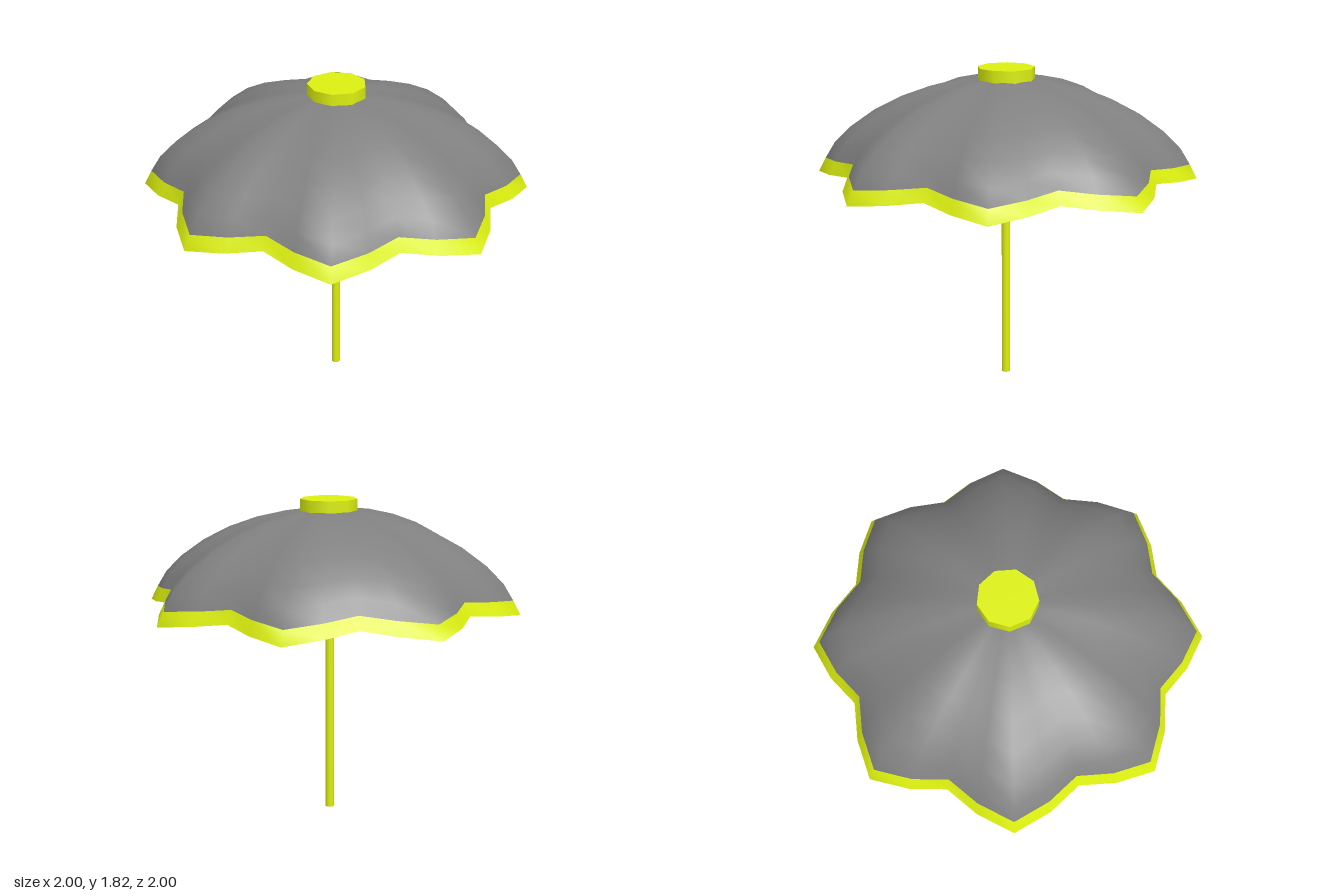
import * as THREE from 'three';
import { mergeVertices } from 'three/addons/utils/BufferGeometryUtils.js';

const yellow = new THREE.MeshStandardMaterial({ color: 0xdcf010 });
const yellowCloth = new THREE.MeshStandardMaterial({ color: 0xdcf010, side: THREE.DoubleSide });
const greyCloth = new THREE.MeshStandardMaterial({ color: 0x808080, side: THREE.DoubleSide });

const RIBS = 8, RIM = 1.082;

// Lathe a rib profile, then pull the cloth in and up between the ribs
function flutedCloth(profile) {
  let geo = new THREE.LatheGeometry(profile.map(([r, y]) => new THREE.Vector2(r, y)), RIBS * 4);
  const p = geo.attributes.position;
  for (let i = 0; i < p.count; i++) {
    const x = p.getX(i), z = p.getZ(i), r = Math.hypot(x, z);
    const valley = (1 + Math.cos(RIBS * Math.atan2(x, z))) / 2;
    const pull = 1 - 0.154 * valley;
    p.setXYZ(i, x * pull, p.getY(i) + 0.05 * valley * (r / RIM) ** 4, z * pull);
  }
  // Weld the seam so the shading is smooth all round
  geo.deleteAttribute('uv');
  geo.deleteAttribute('normal');
  geo = mergeVertices(geo, 1e-4);
  geo.computeVertexNormals();
  return geo;
}

function add(group, name, geo, material) {
  const mesh = new THREE.Mesh(geo, material);
  mesh.name = name;
  group.add(mesh);
  return mesh;
}

export function createModel() {
  const model = new THREE.Group();
  model.name = 'parasol';

  // Domed canopy, open under the cap
  add(model, 'canopy', flutedCloth([
    [1.04, 1.28], [0.985, 1.37], [0.89, 1.465], [0.75, 1.565],
    [0.595, 1.645], [0.43, 1.705], [0.26, 1.745], [0.15, 1.756],
  ]), greyCloth);

  // Coloured band along the scalloped rim
  add(model, 'rimBand', flutedCloth([[RIM, 1.2], [1.04, 1.28]]), yellowCloth);

  // Nine-sided cap on top
  const cap = add(model, 'cap',
    new THREE.CylinderGeometry(0.163, 0.163, 0.07, 9, 1, false, Math.PI / 2), yellow);
  cap.position.set(0.008, 1.785, 0);

  // Straight pole
  const pole = add(model, 'pole', new THREE.CylinderGeometry(0.025, 0.025, 1.76, 12), yellow);
  pole.position.set(0.003, 0.88, 0);

  return model;
}
